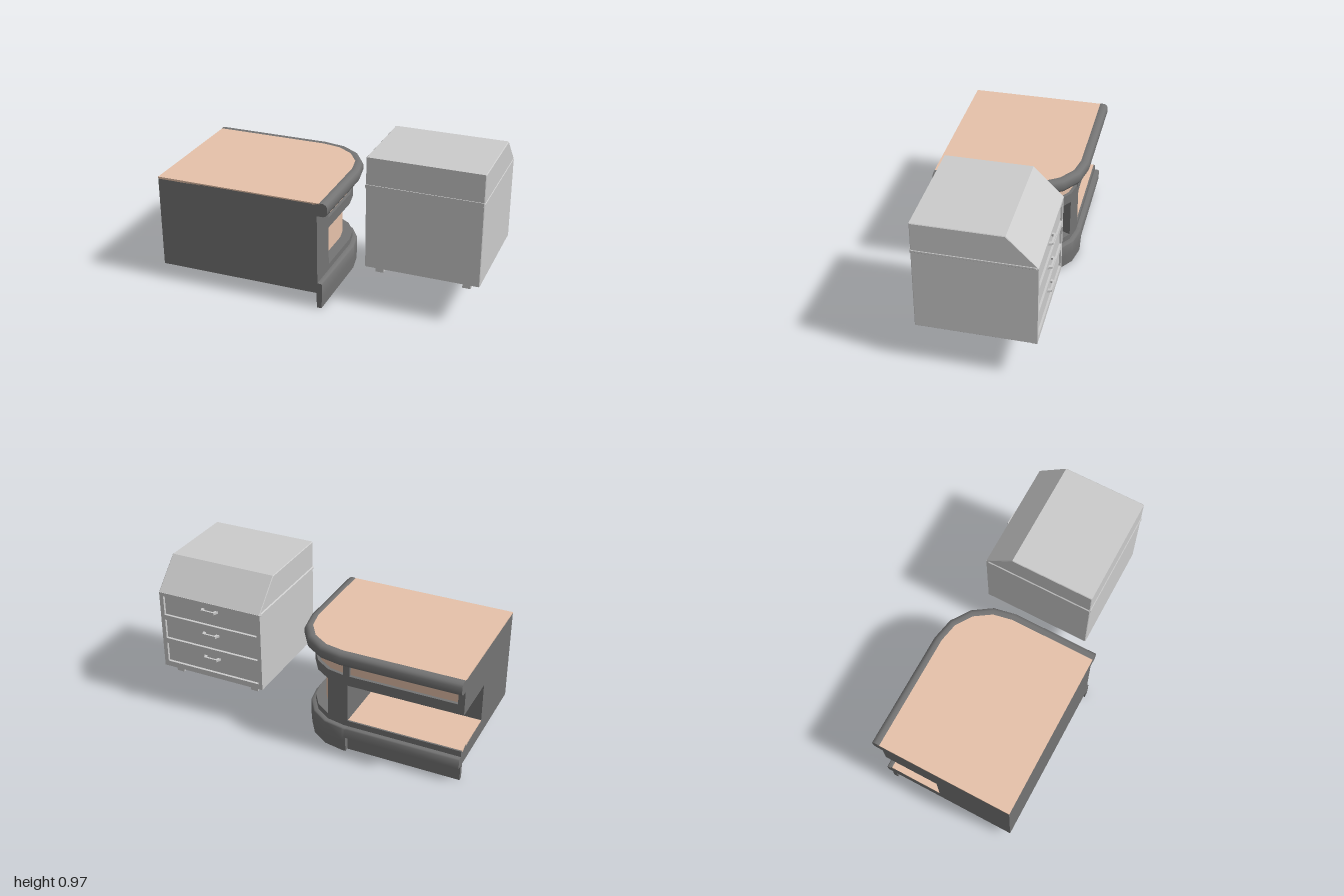
import * as THREE from 'three';
import { toCreasedNormals } from 'three/addons/utils/BufferGeometryUtils.js';

const grey = new THREE.MeshStandardMaterial({ color: 0xcccccc });
const dark = new THREE.MeshStandardMaterial({ color: 0x747474 });
const tan = new THREE.MeshStandardMaterial({ color: 0xe6c2aa });

function add(parent, name, geometry, material) {
  const mesh = new THREE.Mesh(geometry, material);
  mesh.name = name;
  parent.add(mesh);
}

// Box given by its minimum and maximum corners
function box(x0, x1, y0, y1, z0, z1) {
  return new THREE.BoxGeometry(x1 - x0, y1 - y0, z1 - z0)
    .translate((x0 + x1) / 2, (y0 + y1) / 2, (z0 + z1) / 2);
}

const points = list => list.map(p => new THREE.Vector2(...p));

// The counter follows a spine: straight back, rounded corner, straight side.
// Each station has a spine point and an outward normal.
const CX = -0.257, CZ = -0.09, END = 0.455;
const back = x => ({ x, z: CZ, nx: 0, nz: -1 });
const side = z => ({ x: CX, z, nx: 1, nz: 0 });
function corner(first = 0) {
  const list = [];
  for (let i = first; i <= 4; i++) {
    const t = i * Math.PI / 8;
    list.push({ x: CX, z: CZ, nx: Math.sin(t), nz: -Math.cos(t) });
  }
  return list;
}
const fullPath = [back(-1), ...corner(), side(END)];

// Sweep a convex profile of [distance from spine, height] along stations
function sweep(path, profile) {
  const pos = [], idx = [], n = profile.length;
  for (const s of path)
    for (const [r, y] of profile) pos.push(s.x + s.nx * r, y, s.z + s.nz * r);
  for (let i = 0; i < path.length - 1; i++)
    for (let j = 0; j < n; j++) {
      const k = (j + 1) % n;
      const a = i * n + j, b = i * n + k, c = b + n, d = a + n;
      idx.push(a, b, c, a, c, d);
    }
  const last = (path.length - 1) * n;
  for (let j = 1; j < n - 1; j++) idx.push(0, j + 1, j, last, last + j, last + j + 1);
  const g = new THREE.BufferGeometry();
  g.setAttribute('position', new THREE.Float32BufferAttribute(pos, 3));
  g.setIndex(idx);
  return toCreasedNormals(g, 0.8);
}
const rect = (r0, r1, y0, y1) => [[r0, y0], [r1, y0], [r1, y1], [r0, y1]];

// Horizontal slab with the counter's plan; a niche may be cut from the back
function slab(r, y0, y1, niche) {
  const path = niche ? corner().concat(side(END)) : fullPath;
  const plan = path.map(s => [s.x + s.nx * r, -(s.z + s.nz * r)]);
  plan.push([-1, -END]);
  if (niche) plan.push([-1, 0.04], [-0.28, 0.04], [-0.28, r - CZ]);
  return new THREE.ExtrudeGeometry(new THREE.Shape(points(plan)), { depth: y1 - y0, bevelEnabled: false })
    .rotateX(-Math.PI / 2).translate(0, y0, 0);
}

// Chamfered prism: [z, y] outline extruded across x
function prism(outline, x0, x1, bevel) {
  return new THREE.ExtrudeGeometry(new THREE.Shape(points(outline)), {
    depth: x1 - x0 - 2 * bevel, bevelEnabled: true, bevelSegments: 1,
    bevelSize: bevel, bevelThickness: bevel, bevelOffset: -bevel,
  }).rotateY(-Math.PI / 2).translate(x1 - bevel, 0, 0);
}

function createCounter() {
  const g = new THREE.Group();
  g.name = 'counter';
  // Solid core with an open niche at the back
  add(g, 'counterBase', slab(0.27, 0.1, 0.2), dark);
  add(g, 'counterMiddle', slab(0.23, 0.2, 0.455, true), dark);
  add(g, 'counterUpper', slab(0.27, 0.455, 0.69), dark);
  add(g, 'counterTop', slab(0.325, 0.685, 0.698), tan);
  add(g, 'nicheFloor', box(-1, -0.28, 0.19, 0.206, -0.38, -0.04), tan);

  // Rounded rim around the top
  add(g, 'topRim', sweep(fullPath, [
    [0.26, 0.615], [0.34, 0.615], [0.357, 0.623], [0.365, 0.64],
    [0.365, 0.675], [0.357, 0.692], [0.34, 0.7], [0.32, 0.7], [0.26, 0.68],
  ]), dark);

  // Horizontal bands of the frame
  add(g, 'lowerBand', sweep(fullPath, rect(0.22, 0.3, 0.1, 0.205)), dark);
  add(g, 'middleBand', sweep(fullPath, rect(0.22, 0.3, 0.455, 0.52)), dark);
  add(g, 'upperBand', sweep(fullPath, rect(0.255, 0.3, 0.6, 0.64)), dark);

  // Uprights of the frame
  add(g, 'cornerPost', sweep([back(-0.28), ...corner().slice(0, 2)], rect(0.22, 0.3, 0.1, 0.48)), dark);
  add(g, 'upperPost', sweep([back(-0.29), back(-0.25)], rect(0.255, 0.3, 0.5, 0.62)), dark);
  add(g, 'endPost', sweep([back(-1), back(-0.96)], rect(0.255, 0.3, 0.5, 0.62)), dark);
  add(g, 'frontPost', sweep([side(0.27), side(END)], rect(0.22, 0.3, 0.1, 0.66)), dark);

  // Recessed panels, the lower one set deeper
  add(g, 'sidePanel', sweep([...corner(1), side(0.28)], rect(0.22, 0.235, 0.19, 0.47)), tan);
  add(g, 'upperSidePanel', sweep([...corner(), side(0.28)], rect(0.255, 0.28, 0.51, 0.61)), tan);
  add(g, 'upperBackPanel', sweep([back(-0.97), back(-0.28)], rect(0.255, 0.28, 0.51, 0.61)), tan);

  // Skirt around the corner and side; along the back only its top lip goes on
  add(g, 'skirt', sweep([back(-0.28), ...corner(), side(END)], [
    [0.295, 0], [0.325, 0], [0.33, 0.08], [0.33, 0.16], [0.323, 0.167], [0.295, 0.168],
  ]), dark);
  add(g, 'skirtLip', sweep([back(-1), back(-0.27)], [
    [0.26, 0.1], [0.33, 0.1], [0.33, 0.16], [0.323, 0.167], [0.26, 0.168],
  ]), dark);
  add(g, 'toeBoard', sweep([back(-1), back(-0.26)], rect(0.27, 0.298, 0, 0.12)), dark);
  return g;
}

function createCabinet() {
  const g = new THREE.Group();
  g.name = 'drawerCabinet';
  const X0 = 0.293, X1 = 0.997, MID = 0.645;
  add(g, 'cabinetBody', prism([[0.313, 0.263], [0.313, 0.785], [-0.378, 0.785], [-0.378, 0.263]], X0, X1, 0.004), grey);
  add(g, 'cabinetTop', prism([[0.313, 0.787], [0.313, 0.97], [-0.215, 0.97], [-0.395, 0.79]], X0, X1, 0.004), grey);
  add(g, 'cabinetLedge', prism([
    [0.318, 0.774], [0.318, 0.8], [-0.382, 0.8], [-0.392, 0.787], [-0.392, 0.774],
  ], 0.287, 1, 0.008), grey);

  // Drawer frame with three openings
  const face = new THREE.Shape(points([[X0, 0.265], [X1, 0.265], [X1, 0.787], [X0, 0.787]]));
  const pull = new THREE.Shape(points([
    [-0.06, -0.38], [-0.045, -0.413], [0.045, -0.413], [0.06, -0.38],
    [0.038, -0.38], [0.032, -0.401], [-0.032, -0.401], [-0.038, -0.38],
  ]));
  for (const top of [0.765, 0.6, 0.433]) {
    const hole = [[0.32, top], [0.97, top], [0.97, top - 0.132], [0.32, top - 0.132]];
    face.holes.push(new THREE.Path(points(hole)));
    add(g, 'drawerFront', box(0.326, 0.964, top - 0.126, top - 0.006, -0.384, -0.37), grey);
    add(g, 'drawerHandle', new THREE.ExtrudeGeometry(pull, { depth: 0.014, bevelEnabled: false })
      .rotateX(Math.PI / 2).translate(MID, top - 0.024, 0), grey);
  }
  add(g, 'drawerFrame', new THREE.ExtrudeGeometry(face, { depth: 0.03, bevelEnabled: false }).translate(0, 0, -0.395), grey);

  for (const x of [0.373, 0.91])
    for (const z of [0.25, -0.33])
      add(g, 'foot', box(x - 0.025, x + 0.025, 0.218, 0.27, z - 0.025, z + 0.025), grey);
  return g;
}

export function createModel() {
  const model = new THREE.Group();
  model.name = 'counterAndCabinet';
  model.add(createCounter(), createCabinet());
  return model;
}
